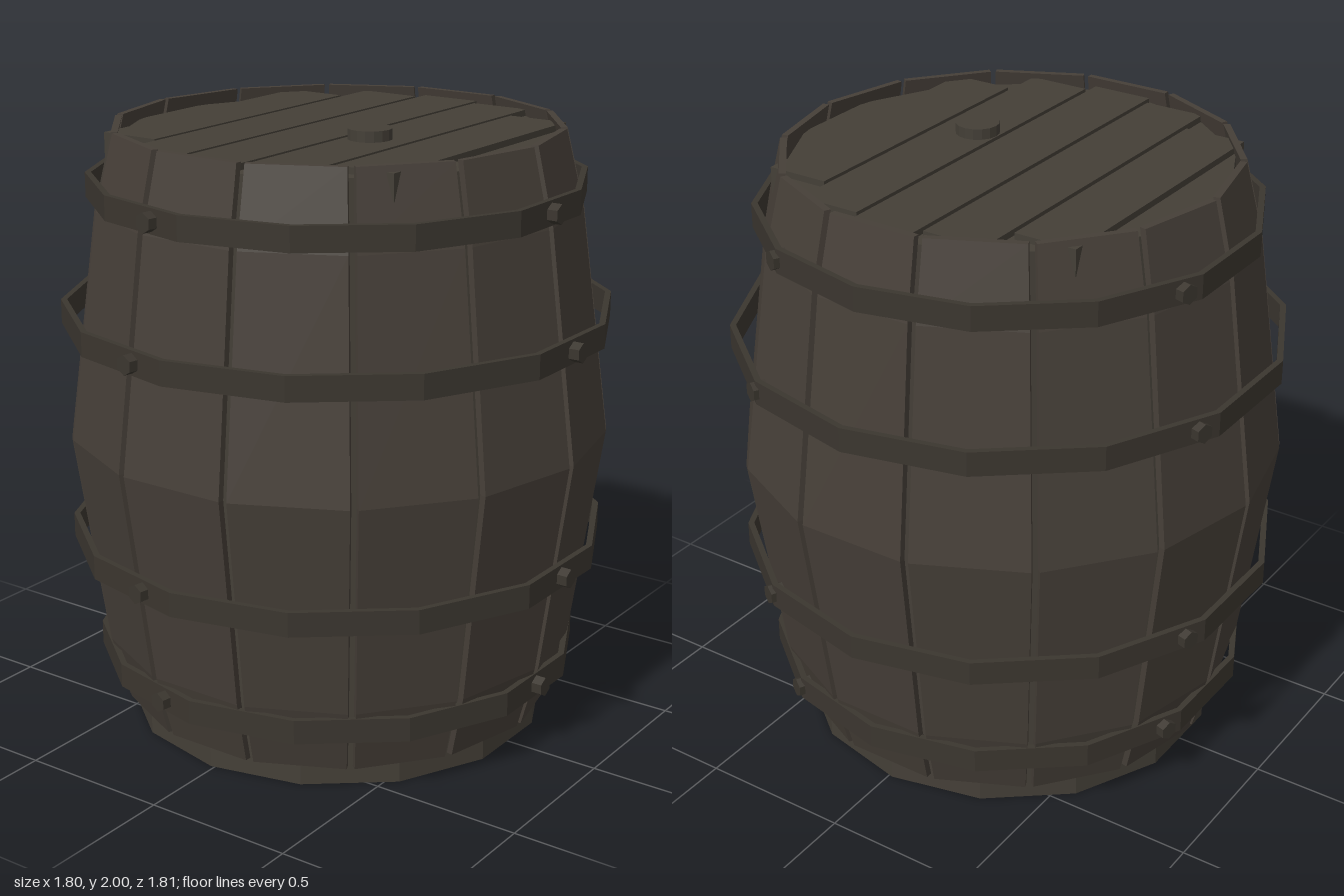
import * as THREE from 'three';

const SIDES = 14;
const STEP = (Math.PI * 2) / SIDES;

const material = (name, color) => {
  const m = new THREE.MeshStandardMaterial({ color });
  m.name = name;
  return m;
};

// Faceted normals for a low-poly look
function flat(geometry) {
  const g = geometry.index ? geometry.toNonIndexed() : geometry;
  g.computeVertexNormals();
  return g;
}

function addMesh(parent, name, geometry, mat, x = 0, y = 0, z = 0) {
  const mesh = new THREE.Mesh(flat(geometry), mat);
  mesh.name = name;
  mesh.position.set(x, y, z);
  parent.add(mesh);
  return mesh;
}

// One bulging stave: a box whose rows follow the barrel profile [height, corner radius]
function staveGeometry() {
  const profile = [[0.07, 0.73], [0.29, 0.79], [1, 0.89], [1.74, 0.79], [1.985, 0.73]];
  const thickness = 0.022, halfGap = 0.013;
  const g = new THREE.BoxGeometry(1, 1, 1, 1, profile.length - 1, 1);
  const p = g.attributes.position;
  for (let i = 0; i < p.count; i++) {
    const [y, r] = profile[Math.round((p.getY(i) + 0.5) * (profile.length - 1))];
    const half = r * Math.sin(STEP / 2) - halfGap;
    const out = r * Math.cos(STEP / 2) - (p.getZ(i) < 0 ? thickness : 0);
    p.setXYZ(i, Math.sign(p.getX(i)) * half, y, out);
  }
  return g;
}

// Flat band with a corner over the middle of every stave
function hoopGeometry(radius) {
  const h = 0.04, t = 0.02;
  const section = [[radius, -h], [radius, h], [radius - t, h], [radius - t, -h], [radius, -h]];
  return new THREE.LatheGeometry(section.map(([x, y]) => new THREE.Vector2(x, y)), SIDES);
}

export function createModel() {
  const model = new THREE.Group();
  model.name = 'barrel';
  const barrel = new THREE.Group();
  barrel.name = 'barrelBody';
  barrel.position.set(-0.013, 0, -0.004);
  model.add(barrel);

  const wood = material('stave wood', 0x463f38);
  const lidWood = material('lid wood', 0x443f37);
  const iron = material('hoop iron', 0x3b362f);

  // Inner core, showing as the base and under the lid planks
  addMesh(barrel, 'core', new THREE.CylinderGeometry(0.705, 0.705, 1.945, SIDES), lidWood, 0, 0.9725, 0);

  // Staves
  for (let i = 0; i < SIDES; i++) {
    addMesh(barrel, 'stave', staveGeometry(), wood).rotation.y = i * STEP;
  }

  // Lid planks, shorter towards the sides
  const lengths = [0.99, 1.255, 1.335, 1.255, 0.99];
  lengths.forEach((length, i) => {
    addMesh(barrel, 'lidPlank', new THREE.BoxGeometry(0.207, 0.085, length), lidWood, (i - 2) * 0.223, 1.923, 0);
  });

  // Bung
  addMesh(barrel, 'bung', new THREE.CylinderGeometry(0.071, 0.071, 0.06, 16), lidWood, 0.193, 1.97, 0.1);

  // Hoops, each with four hexagonal bolts
  const hoops = [[0.233, 0.807], [0.63, 0.887], [1.373, 0.9], [1.79, 0.807]];
  for (const [y, radius] of hoops) {
    addMesh(barrel, 'hoop', hoopGeometry(radius), iron, 0, y, 0);
    const r = radius * Math.cos(STEP / 2) + 0.01;
    for (let i = 0; i < 4; i++) {
      const a = i * THREE.MathUtils.degToRad(98.8);
      const bolt = new THREE.CylinderGeometry(0.032, 0.032, 0.05, 6);
      bolt.rotateX(Math.PI / 2);
      addMesh(barrel, 'bolt', bolt, iron, r * Math.cos(a), y, r * Math.sin(a)).rotation.y = Math.PI / 2 - a;
    }
  }
  return model;
}
